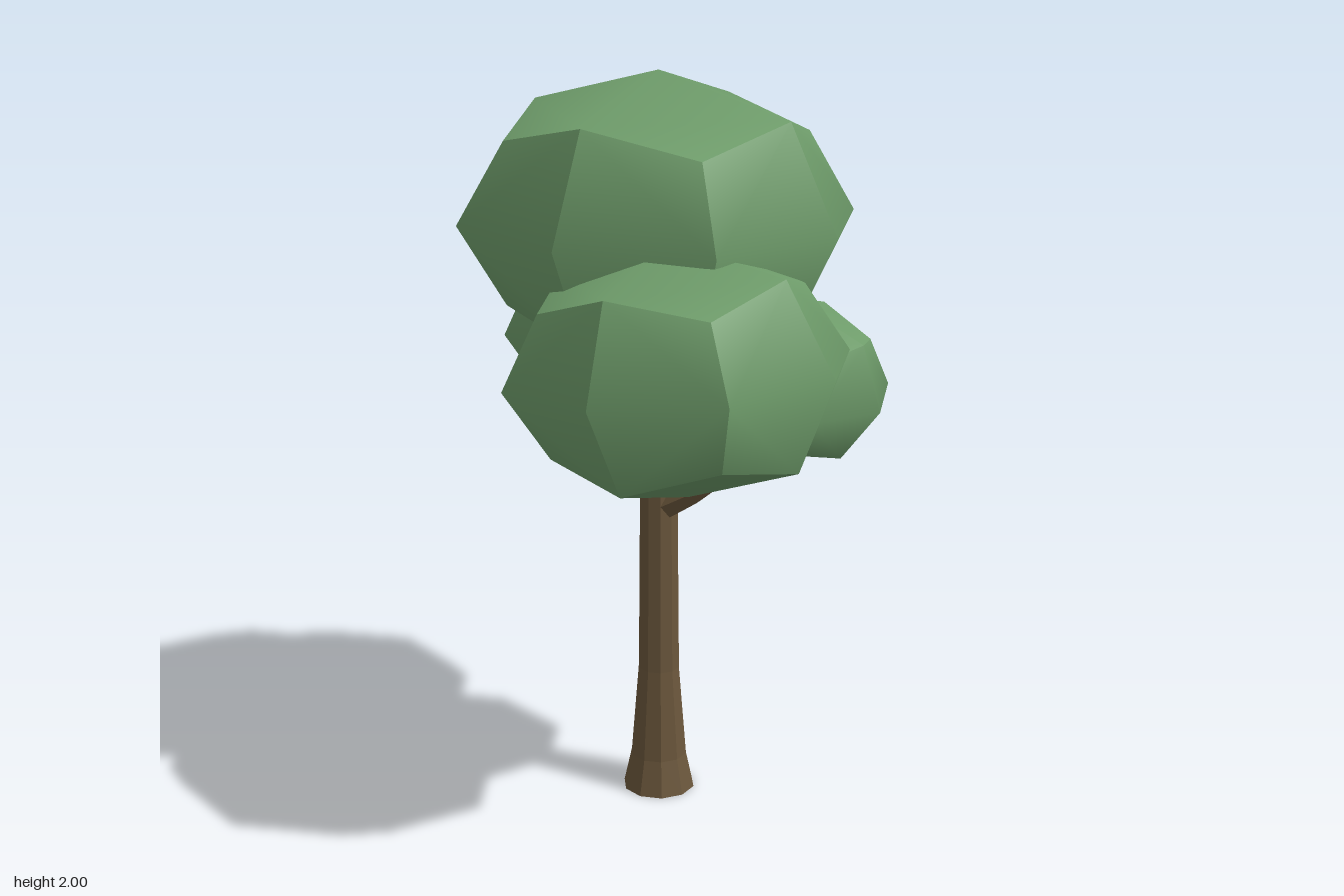
import * as THREE from 'three';

const leafMaterial = new THREE.MeshStandardMaterial({ color: 0x6f9d6b });
const barkMaterial = new THREE.MeshStandardMaterial({ color: 0x6b573c, flatShading: true });

// Rounded cube with 2 x 2 quads a side; each side is two smooth halves meeting at a crease.
function clumpGeometry() {
  const reach = [0, 1, 0.735, 0.56]; // by number of non-zero coordinates
  const sides = [['z', 'x', 'y'], ['x', 'z', 'y'], ['y', 'z', 'x']]; // normal, across, along
  const positions = [], indices = [];
  for (const [normal, across, along] of sides) {
    for (const n of [-1, 1]) for (const half of [-1, 1]) {
      const start = positions.length / 3;
      for (const a of [-1, 0, 1]) for (const s of [0, half]) {
        const p = new THREE.Vector3();
        p[normal] = n;
        p[across] = s;
        p[along] = a;
        p.multiplyScalar(reach[1 + Math.abs(a) + Math.abs(s)]);
        positions.push(p.x, p.y, p.z);
      }
      // Edge midpoints are joined, so each quad bulges outwards
      const triangles = [[0, 1, 3], [0, 3, 2], [2, 3, 4], [3, 5, 4]];
      const at = (i) => new THREE.Vector3().fromArray(positions, 3 * (start + i));
      for (const [i, j, k] of triangles) {
        const outward = at(j).sub(at(i)).cross(at(k).sub(at(i))).dot(at(i)) > 0;
        indices.push(start + i, start + (outward ? j : k), start + (outward ? k : j));
      }
    }
  }
  const geometry = new THREE.BufferGeometry();
  geometry.setAttribute('position', new THREE.Float32BufferAttribute(positions, 3));
  geometry.setIndex(indices);
  return geometry;
}

function clump(name, center, radii, tilt) {
  const geometry = clumpGeometry().scale(...radii);
  geometry.computeVertexNormals();
  const mesh = new THREE.Mesh(geometry, leafMaterial);
  mesh.name = name;
  mesh.position.set(...center);
  mesh.rotation.z = tilt;
  return mesh;
}

// Tube whose rings shrink along the path
function taperedTube(points, radii, sides) {
  const curve = new THREE.CatmullRomCurve3(points.map((p) => new THREE.Vector3(...p)));
  const steps = radii.length - 1;
  const geometry = new THREE.TubeGeometry(curve, steps, 1, sides);
  const pos = geometry.attributes.position;
  const v = new THREE.Vector3();
  for (let i = 0; i < pos.count; i++) {
    const ring = Math.floor(i / (sides + 1));
    const c = curve.getPointAt(ring / steps);
    v.fromBufferAttribute(pos, i).sub(c).multiplyScalar(radii[ring]).add(c);
    pos.setXYZ(i, v.x, v.y, v.z);
  }
  geometry.computeVertexNormals();
  return geometry;
}

export function createModel() {
  const tree = new THREE.Group();
  tree.name = 'tree';

  // Trunk flaring at the foot
  const profile = [[0, 0], [0.1, 0], [0.078, 0.1], [0.057, 0.36], [0.051, 1.0], [0.045, 1.4], [0, 1.4]];
  const trunk = new THREE.Mesh(
    new THREE.LatheGeometry(profile.map(([x, y]) => new THREE.Vector2(x, y)), 10), barkMaterial);
  trunk.name = 'trunk';
  trunk.position.set(-0.06, 0, -0.08);
  tree.add(trunk);

  // Side branch reaching into the small clump
  const branch = new THREE.Mesh(taperedTube(
    [[-0.06, 0.825, -0.08], [0.02, 0.87, -0.08], [0.11, 0.925, -0.08], [0.19, 1.01, -0.08], [0.26, 1.12, -0.1]],
    [0.045, 0.035, 0.022, 0.014, 0.01], 6), barkMaterial);
  branch.name = 'branch';
  tree.add(branch);

  // Foliage
  tree.add(
    clump('crownFoliage', [-0.06, 1.62, -0.08], [0.52, 0.38, 0.492], 0),
    clump('frontFoliage', [0.18, 1.315, 0.22], [0.435, 0.325, 0.413], 0.092),
    clump('backFoliage', [-0.235, 1.283, -0.28], [0.382, 0.288, 0.357], 0.092),
    clump('branchFoliage', [0.27, 1.235, -0.12], [0.305, 0.213, 0.287], -0.18),
  );
  return tree;
}
